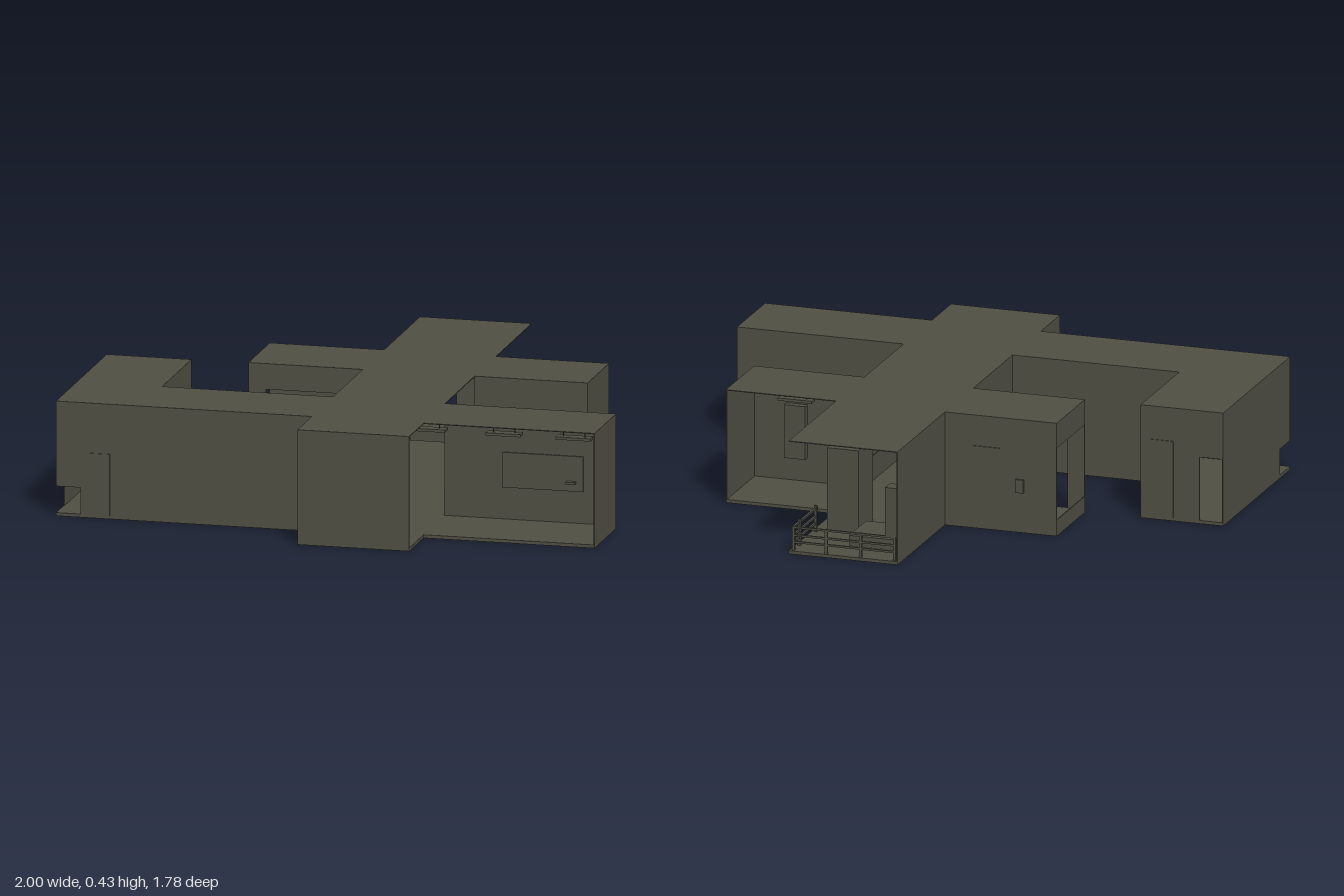
import * as THREE from 'three';

const H = 0.425, FLOOR = 0.012, T = 0.004;

export function createModel() {
  const model = new THREE.Group();
  const olive = new THREE.MeshStandardMaterial({ color: 0x4f4e43 });
  olive.name = 'dark olive';

  // Box given by its extents on each axis
  function box(name, x0, x1, y0, y1, z0, z1, parent = model) {
    const m = new THREE.Mesh(new THREE.BoxGeometry(x1 - x0, y1 - y0, z1 - z0), olive);
    m.position.set((x0 + x1) / 2, (y0 + y1) / 2, (z0 + z1) / 2);
    m.name = name;
    parent.add(m);
    return m;
  }
  // Thin walls: along x at a fixed z, and along z at a fixed x
  const wallX = (name, z, x0, x1, y0 = 0, y1 = H) => box(name, x0, x1, y0, y1, z - T / 2, z + T / 2);
  const wallZ = (name, x, z0, z1, y0 = 0, y1 = H) => box(name, x - T / 2, x + T / 2, y0, y1, z0, z1);

  // Floor and ceiling share one plan of corridors and rooms
  const plan = [
    [-0.05, 0.365], [-0.05, 0.89], [0.365, 0.89], [0.365, 0.68], [1, 0.68], [1, 0.37],
    [0.365, 0.37], [0.365, -0.06], [0.785, -0.06], [0.785, -0.37], [0.365, -0.37],
    [0.365, -0.89], [-0.05, -0.89], [-0.05, -0.37], [-0.475, -0.37], [-0.475, -0.06],
    [-0.05, -0.06], [-0.05, 0.37], [-0.685, 0.37], [-0.685, -0.055], [-1, -0.055], [-1, 0.68], [-0.05, 0.68],
  ].slice(1);
  const shape = new THREE.Shape(plan.map(([x, z]) => new THREE.Vector2(x, -z)));
  function slab(name, y, depth) {
    const g = new THREE.ExtrudeGeometry(shape, { depth, bevelEnabled: false });
    g.rotateX(-Math.PI / 2);
    const m = new THREE.Mesh(g, olive);
    m.position.y = y;
    m.name = name;
    model.add(m);
  }
  slab('floor', 0, FLOOR);
  slab('ceiling', H - 0.003, 0.003);

  // Front room
  wallX('frontWall', 0.888, -0.05, 0.365);
  wallZ('frontRoomWall', -0.048, 0.68, 0.89);
  box('frontRoomDoor', -0.046, -0.038, FLOOR, 0.3, 0.72, 0.86);

  // Long front corridor, with a low opening at its outer corner
  wallX('corridorFrontWall', 0.678, -0.91, -0.05);
  wallX('cornerHeader', 0.678, -1, -0.91, 0.11);
  wallX('corridorBackWallLeft', 0.372, 0.365, 1);
  wallX('corridorBackWallRight', 0.372, -0.685, -0.05);
  wallZ('corridorEndWall', 0.998, 0.37, 0.68);
  box('corridorDoor', -0.89, -0.8, 0.012, 0.24, 0.68, 0.683);
  box('wallPanel', 0.58, 0.88, 0.13, 0.26, 0.374, 0.38);
  box('wallCabinet', 0.93, 0.965, 0.02, 0.125, 0.374, 0.4);
  box('wallShelf', 0.82, 0.855, 0.16, 0.168, 0.374, 0.4);

  // Side arm
  wallZ('armOuterWall', -0.998, -0.055, 0.57);
  wallZ('armCornerHeader', -0.998, 0.57, 0.68, 0.11);
  wallZ('armInnerWall', -0.687, -0.055, 0.37);
  wallX('armBackWall', -0.053, -0.91, -0.685);
  wallX('armBackHeader', -0.053, -1, -0.91, 0.25);
  box('armDoor', -0.81, -0.72, FLOOR, 0.3, -0.058, -0.055);
  box('armWindow', -1, -0.996, 0.16, 0.36, 0.03, 0.17);
  box('armSideDoor', -1, -0.996, FLOOR, 0.3, 0.36, 0.48);
  box('armHandle', -0.996, -0.98, 0.04, 0.1, 0.0, 0.03);

  // Middle corridor
  wallZ('middleWall', -0.048, -0.06, 0.37);
  wallZ('middleLowWall', 0.363, -0.06, 0.37, 0, 0.105);

  // Crossing: left room
  wallX('crossingFrontWall', -0.062, 0.365, 0.785);
  wallZ('crossingEndWall', 0.783, -0.37, -0.06);
  box('crossingPanel', 0.48, 0.68, 0.12, 0.3, -0.061, -0.056);
  box('crossingCabinet', 0.58, 0.66, 0.1, 0.3, -0.09, -0.064);

  // Crossing: right room with open end
  wallX('crossingBackWall', -0.368, -0.475, -0.05);
  wallX('crossingPost', -0.062, -0.475, -0.41);
  wallX('crossingHeader', -0.062, -0.41, -0.05, 0.33);
  wallZ('openEndHeader', -0.473, -0.37, -0.06, 0.33);
  wallZ('openEndParapet', -0.473, -0.37, -0.06, 0, 0.06);
  box('crossingDoor', -0.26, -0.16, FLOOR, 0.31, -0.374, -0.37);
  box('switchBox', -0.35, -0.32, 0.15, 0.2, -0.378, -0.37);

  // Back room
  wallZ('backRoomWall', -0.048, -0.89, -0.37);
  box('tallCabinet', 0.2, 0.32, FLOOR, 0.32, -0.6, -0.44);
  box('cabinetTop', 0.22, 0.3, 0.32, 0.35, -0.55, -0.49);
  box('wallLocker', -0.046, 0.0, 0.1, 0.285, -0.885, -0.83);
  box('bench', -0.02, 0.16, 0.03, 0.07, -0.82, -0.63);

  // Rails around the open back corner
  const rails = new THREE.Group();
  rails.name = 'rails';
  model.add(rails);
  for (const y of [0.04, 0.065, 0.095]) {
    box('backRail', -0.04, 0.355, y, y + 0.007, -0.882, -0.874, rails);
    box('sideRail', 0.347, 0.355, y, y + 0.007, -0.88, -0.62, rails);
  }
  for (const x of [-0.04, 0.09, 0.22, 0.345]) box('backPost', x, x + 0.01, 0, 0.102, -0.883, -0.873, rails);
  for (const z of [-0.82, -0.64]) box('sidePost', 0.345, 0.356, 0, 0.11, z, z + 0.012, rails);

  // Hanging lamps, each on two rods
  function lamp(x, z, alongX) {
    const g = new THREE.Group();
    g.name = 'lamp';
    box('lampPanel', -0.065, 0.065, 0.36, 0.37, -0.02, 0.02, g);
    for (const s of [-1, 1]) box('lampRod', s * 0.04 - 0.0015, s * 0.04 + 0.0015, 0.37, H - 0.002, -0.0015, 0.0015, g);
    g.position.set(x, 0, z);
    if (!alongX) g.rotation.y = Math.PI / 2;
    model.add(g);
  }
  for (const z of [0.665, 0.37, 0.075, -0.2, -0.495]) lamp(0.16, z, false);
  for (const x of [0.885, 0.625, 0.345, -0.3, -0.57, -0.84]) lamp(x, 0.525, true);
  for (const x of [0.57, -0.26]) lamp(x, -0.215, true);

  return model;
}
